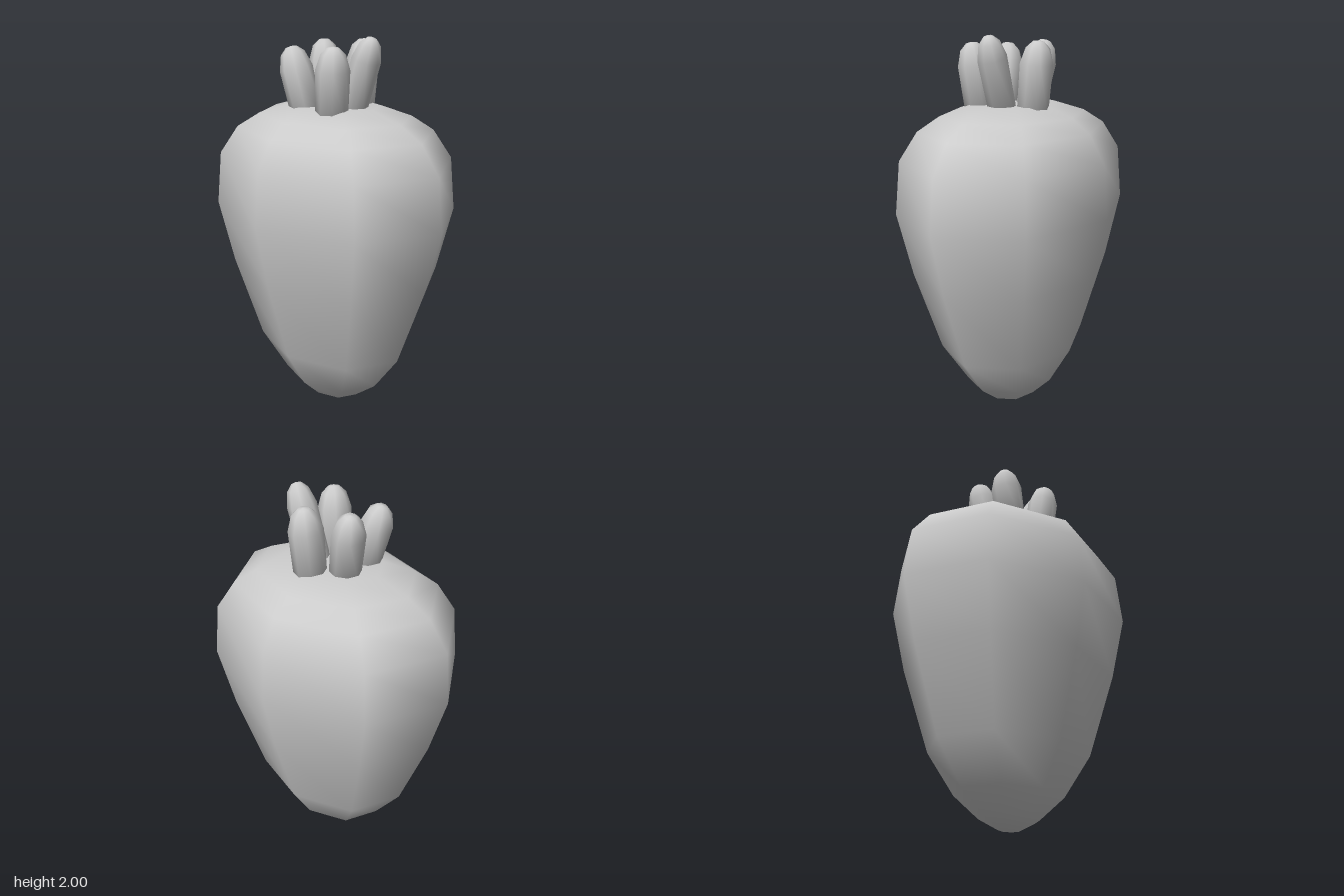
import * as THREE from 'three';

const material = new THREE.MeshStandardMaterial({ color: 0xcccccc });

// Smooth eight-sided solid of revolution from [radius, height] pairs, bottom to top
function turned(name, profile) {
  const points = profile.map(([r, y]) => new THREE.Vector2(r, y));
  const mesh = new THREE.Mesh(new THREE.LatheGeometry(points, 8), material);
  mesh.name = name;
  return mesh;
}

// Round-tipped stalk leaning from its base to its tip
function makeStalk(base, tip, r) {
  const from = new THREE.Vector3(...base);
  const dir = new THREE.Vector3(...tip).sub(from);
  const h = dir.length();
  const stalk = turned('stalk', [
    [0, 0], [r, 0], [r * 1.04, h - 0.11], [r * 0.75, h - 0.035], [r * 0.35, h - 0.005], [0, h],
  ]);
  stalk.position.copy(from);
  stalk.quaternion.setFromUnitVectors(new THREE.Vector3(0, 1, 0), dir.normalize());
  return stalk;
}

export function createModel() {
  const model = new THREE.Group();
  model.name = 'rootVegetable';

  // Plump root, flattened front to back
  const root = turned('root', [
    [0, 0], [0.06, 0], [0.165, 0.05], [0.3, 0.16], [0.45, 0.37], [0.605, 0.8], [0.69, 1.13],
    [0.66, 1.4], [0.555, 1.54], [0.43, 1.61], [0.255, 1.66], [0, 1.66],
  ]);
  root.scale.z = 0.79;
  model.add(root);

  // Ring of cut stalks: base, tip, radius
  const stalks = new THREE.Group();
  stalks.name = 'stalks';
  [
    [[0.115, 1.64, -0.01], [0.235, 2.0, -0.01], 0.07],
    [[0.04, 1.64, -0.14], [0.045, 1.975, -0.172], 0.08],
    [[-0.095, 1.64, -0.045], [-0.16, 1.967, -0.09], 0.078],
    [[-0.09, 1.64, 0.113], [-0.165, 1.945, 0.137], 0.08],
    [[0.105, 1.64, 0.13], [0.14, 1.962, 0.155], 0.08],
  ].forEach((s) => stalks.add(makeStalk(...s)));
  model.add(stalks);

  return model;
}
